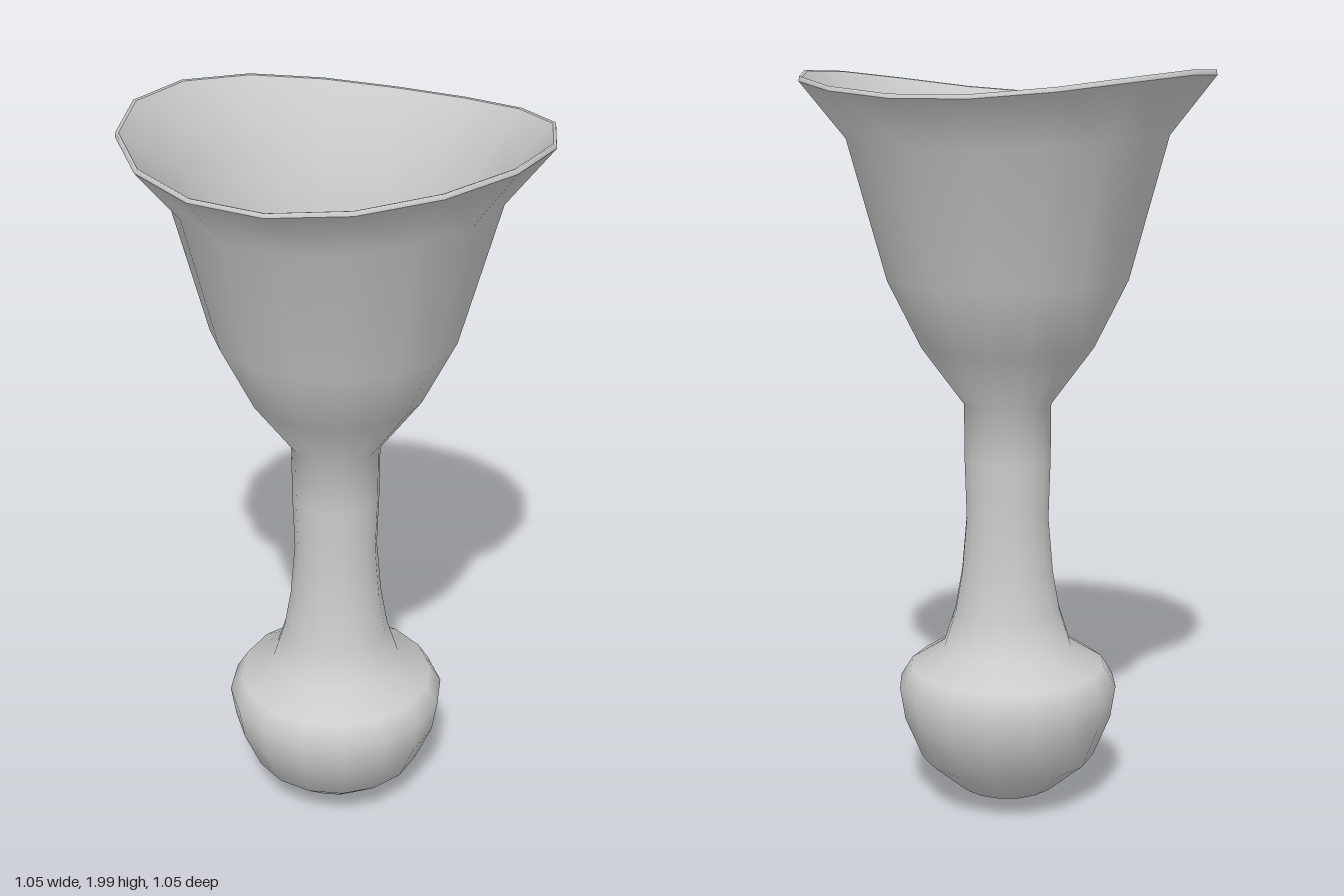
import * as THREE from 'three';

const SIDES = 16;

// Revolve a profile, then lean the lower part slightly and ripple the flared lip.
function turned(name, profile, material) {
  const geo = new THREE.LatheGeometry(profile.map(([r, y]) => new THREE.Vector2(r, y)), SIDES);
  const pos = geo.attributes.position;
  for (let i = 0; i < pos.count; i++) {
    const x = pos.getX(i), y = pos.getY(i), z = pos.getZ(i);
    const r2 = Math.max(x * x + z * z, 1e-6);
    const diagonal = (2 * x * z) / r2;
    const frontBack = (z * z - x * x) / r2;
    const flare = THREE.MathUtils.clamp((y - 1.45) / 0.52, 0, 1);
    const swell = 1 + 0.028 * diagonal * flare;
    const lean = 0.009 * (1 - flare);
    const lift = (0.029 * diagonal + 0.011 * frontBack) * flare * flare;
    pos.setXYZ(i, x * swell - lean, y + lift, z * swell + lean);
  }
  const mesh = new THREE.Mesh(geo, material);
  mesh.name = name;
  return mesh;
}

export function createModel() {
  const material = new THREE.MeshStandardMaterial({ color: 0xcccccc, side: THREE.DoubleSide });
  const group = new THREE.Group();
  group.name = 'flaredCup';

  // Rounded bulb foot, slim stem and the outside of the trumpet bowl
  const outer = [
    [0, 0.005], [0.135, 0.045], [0.24, 0.135], [0.288, 0.25], [0.302, 0.34], [0.27, 0.392],
    [0.177, 0.45], [0.145, 0.55], [0.126, 0.66], [0.113, 0.81], [0.118, 0.97], [0.119, 1.125],
    [0.233, 1.28], [0.322, 1.46], [0.415, 1.82], [0.526, 1.957],
  ];
  group.add(turned('body', outer, material));

  // Thin lip
  const lip = [[0.526, 1.957], [0.524, 1.969], [0.517, 1.967]];
  group.add(turned('lip', lip, material));

  // Inner wall narrowing to a steep edge, then a deep rounded floor
  const inner = [
    [0.517, 1.967], [0.402, 1.82], [0.35, 1.64], [0.3, 1.46], [0.272, 1.39],
    [0.24, 1.32], [0.185, 1.25], [0.1, 1.19], [0, 1.17],
  ];
  group.add(turned('bowlInside', inner, material));

  return group;
}
